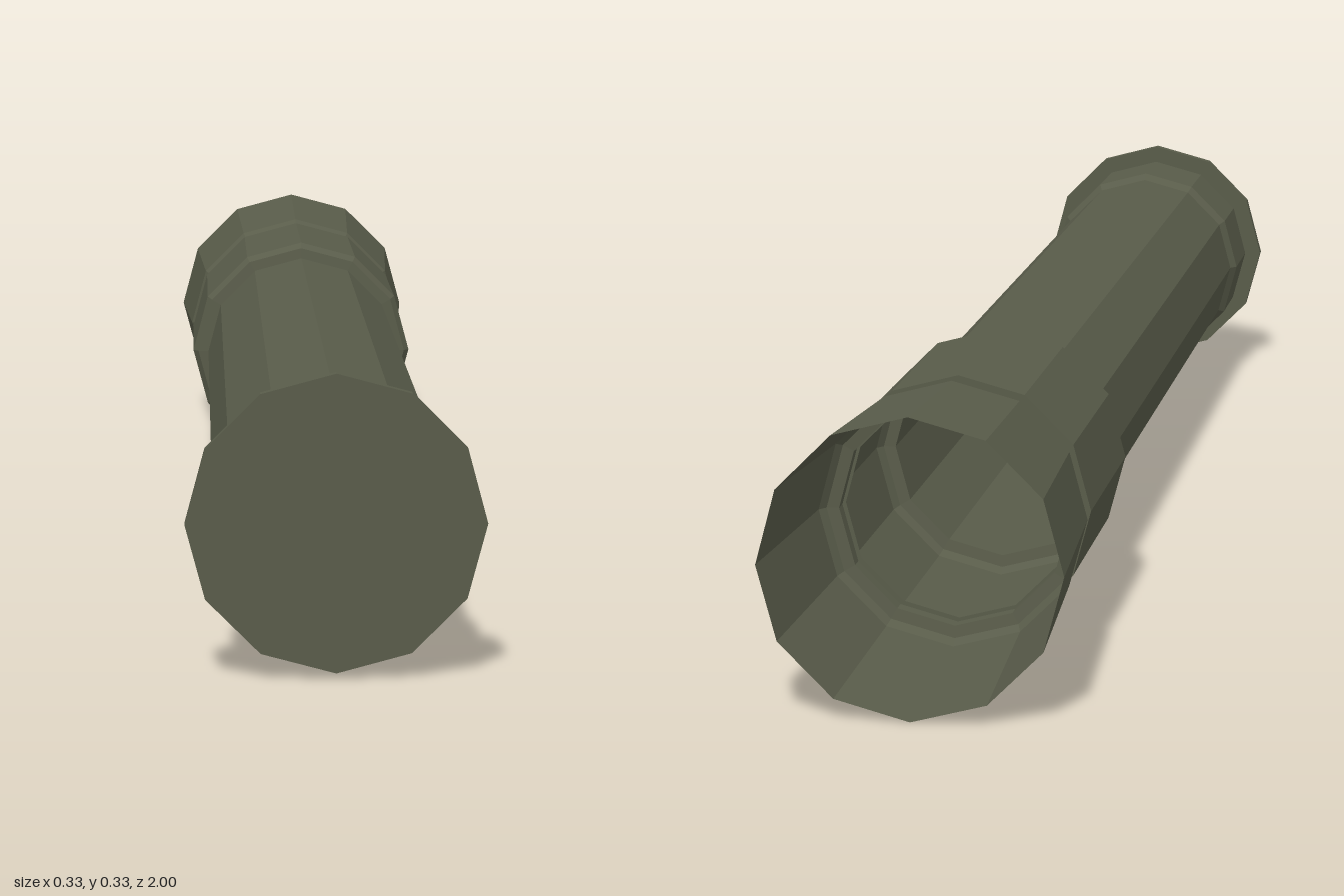
import * as THREE from 'three';

const SIDES = 12;
const CENTRE_Y = 0.169;

export function createModel() {
  const model = new THREE.Group();
  model.name = 'flashlight';

  const olive = new THREE.MeshStandardMaterial({ color: 0x595c4a, flatShading: true, side: THREE.DoubleSide });
  olive.name = 'olive';

  // Turned part: profile of [radius, z] pairs, listed from back to front
  function turned(name, profile) {
    const points = profile.map(([r, z]) => new THREE.Vector2(r, z));
    const geometry = new THREE.LatheGeometry(points, SIDES);
    geometry.rotateX(Math.PI / 2);
    const mesh = new THREE.Mesh(geometry, olive);
    mesh.name = name;
    mesh.position.y = CENTRE_Y;
    model.add(mesh);
  }

  // Closed flange at the front end
  turned('endCap', [[0, 0.986], [0.16, 0.986], [0.16, 1], [0, 1]]);

  // Collar behind the flange, long tube, and thicker sleeve with an open back
  turned('body', [
    [0.13, -0.705], [0.151, -0.705], [0.151, -0.428], [0.144, -0.418], [0.13, -0.416],
    [0.13, 0.85], [0.138, 0.862], [0.138, 0.98], [0, 0.98],
  ]);

  // Open flared head, separated from the sleeve by a narrow gap
  turned('flaredHead', [[0.1665, -1], [0.153, -0.745], [0.146, -0.735], [0.132, -0.733], [0.132, -0.715]]);

  return model;
}
